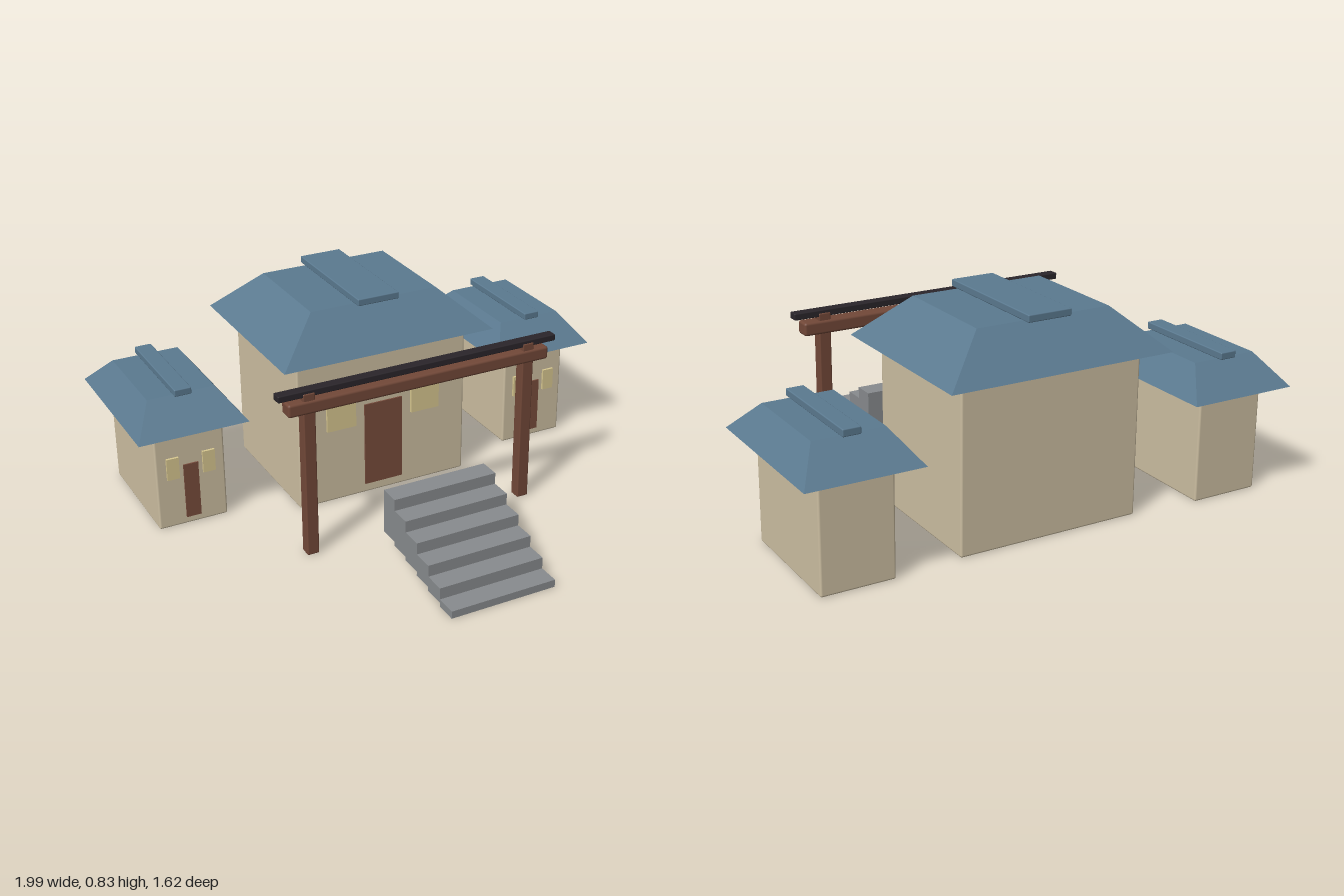
import * as THREE from 'three';
import { RoundedBoxGeometry } from 'three/addons/geometries/RoundedBoxGeometry.js';

const mat = (color) => new THREE.MeshStandardMaterial({ color });
const wall = mat(0xcdbfa2), roofBlue = mat(0x5b7a90), wood = mat(0x724838);
const doorBrown = mat(0x784c3c), pane = mat(0xd8c890), stone = mat(0x888b8e), dark = mat(0x2a252a);

// Box given by its limits; bevel > 0 rounds the edges
function block(name, material, [x0, x1], [y0, y1], [z0, z1], bevel = 0) {
  const size = [x1 - x0, y1 - y0, z1 - z0];
  const geometry = bevel ? new RoundedBoxGeometry(...size, 2, bevel) : new THREE.BoxGeometry(...size);
  const mesh = new THREE.Mesh(geometry, material);
  mesh.position.set((x0 + x1) / 2, (y0 + y1) / 2, (z0 + z1) / 2);
  mesh.name = name;
  return mesh;
}

// Hipped roof: a box whose top face is drawn in
function hipRoof(width, depth, topWidth, topDepth, y0, y1) {
  const geometry = new THREE.BoxGeometry(width, y1 - y0, depth);
  const p = geometry.attributes.position;
  for (let i = 0; i < p.count; i++) {
    if (p.getY(i) > 0) {
      p.setX(i, p.getX(i) * topWidth / width);
      p.setZ(i, p.getZ(i) * topDepth / depth);
    }
  }
  geometry.computeVertexNormals();
  const mesh = new THREE.Mesh(geometry, roofBlue);
  mesh.position.y = (y0 + y1) / 2;
  mesh.name = 'roof';
  return mesh;
}

// House centred on its own origin, with door and two windows on the +z wall
function house(name, s) {
  const group = new THREE.Group();
  group.name = name;
  const { w, d, h, roof, cap, door, win } = s;
  const front = d / 2;
  group.add(
    block('walls', wall, [-w / 2, w / 2], [0, h], [-front, front], 0.008),
    hipRoof(...roof),
    block('ridgeCap', roofBlue, [-cap[0] / 2, cap[0] / 2], [cap[2], cap[3]], [-cap[1] / 2, cap[1] / 2], 0.004),
    block('door', doorBrown, [-door[0] / 2, door[0] / 2], [door[1], door[2]], [front - 0.01, front + 0.006]),
  );
  for (const side of [-1, 1]) {
    const x = side * win[0];
    group.add(block('window', pane, [x - win[1] / 2, x + win[1] / 2], [win[2], win[3]], [front - 0.01, front + 0.01]));
  }
  return group;
}

export function createModel() {
  const model = new THREE.Group();
  model.name = 'compound';

  // Main hall
  const hall = house('mainHall', {
    w: 0.735, d: 0.585, h: 0.645,
    roof: [0.9, 0.745, 0.54, 0.45, 0.64, 0.8],
    cap: [0.175, 0.525, 0.8, 0.828],
    door: [0.165, 0.04, 0.395],
    win: [0.185, 0.125, 0.315, 0.455],
  });
  hall.position.set(-0.002, 0, -0.226);
  model.add(hall);

  // Side houses
  for (const [name, x] of [['leftHouse', 0.77], ['rightHouse', -0.775]]) {
    const sideHouse = house(name, {
      w: 0.28, d: 0.5, h: 0.425,
      roof: [0.44, 0.655, 0.27, 0.4, 0.42, 0.536],
      cap: [0.068, 0.45, 0.536, 0.564],
      door: [0.06, 0.03, 0.26],
      win: [0.073, 0.05, 0.21, 0.3],
    });
    sideHouse.position.set(x, 0, -0.293);
    model.add(sideHouse);
  }

  // Gate: posts, lower beam and dark top rail
  const gate = new THREE.Group();
  gate.name = 'gate';
  for (const x of [-0.465, 0.458]) {
    gate.add(block('gatePost', wood, [x - 0.024, x + 0.024], [0, 0.672], [0.344, 0.392], 0.005));
  }
  gate.add(
    block('gateBeam', wood, [-0.55, 0.545], [0.592, 0.644], [0.336, 0.398], 0.01),
    block('gateRail', dark, [-0.585, 0.58], [0.658, 0.684], [0.347, 0.389], 0.004),
  );
  model.add(gate);

  // Steps, rising towards the hall
  const stairs = new THREE.Group();
  stairs.name = 'stairs';
  for (let i = 0; i < 6; i++) {
    const z = 1 - i * 0.0855;
    stairs.add(block('step', stone, [-0.217, 0.213], [i * 0.016, 0.03 + i * 0.046], [z - 0.0855, z]));
  }
  model.add(stairs);

  return model;
}
